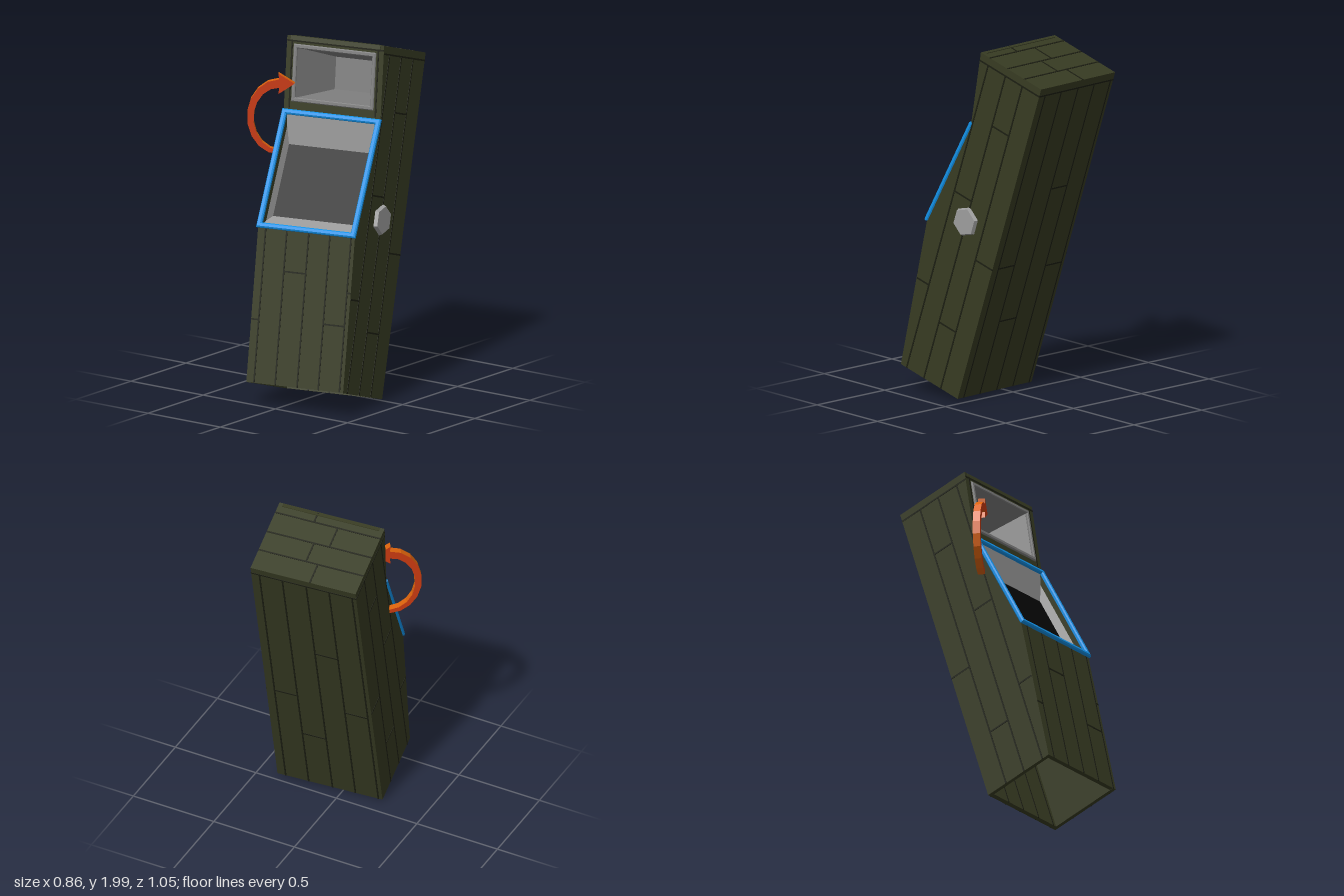
import * as THREE from 'three';

const mat = (name, color, side = THREE.FrontSide) => {
  const m = new THREE.MeshStandardMaterial({ color, side, flatShading: true });
  m.name = name;
  return m;
};

export function createModel() {
  const olive = mat('olive planks', 0x373b22);
  const dark = mat('plank seams', 0x1c1e12);
  const blue = mat('blue frame', 0x149cf8);
  const grey = mat('light grey', 0x9c9c9c, THREE.DoubleSide);
  const midGrey = mat('recess grey', 0x808080, THREE.DoubleSide);
  const black = mat('black screen', 0x050505, THREE.DoubleSide);
  const red = mat('arrow red', 0xca3a10);
  const orange = mat('arrow orange', 0xde640c);

  const W = 0.309, H = 1.925, T = 0.024;
  const root = new THREE.Group();
  root.name = 'cabinetWithArrow';

  // Cabinet space leans back and turns slightly
  const cabinet = new THREE.Group();
  cabinet.name = 'cabinet';
  const ux = new THREE.Vector3(0.992, 0.029, -0.121).normalize();
  const uy = new THREE.Vector3(-0.063, 0.955, -0.288).normalize();
  const uz = new THREE.Vector3().crossVectors(ux, uy).normalize();
  uy.crossVectors(uz, ux);
  cabinet.quaternion.setFromRotationMatrix(new THREE.Matrix4().makeBasis(ux, uy, uz));
  cabinet.position.set(0.075, 0.015, 0.068);
  root.add(cabinet);

  const add = (parent, name, geo, material, x = 0, y = 0, z = 0) => {
    const m = new THREE.Mesh(geo, material);
    m.name = name;
    m.position.set(x, y, z);
    parent.add(m);
    return m;
  };
  // A face group: its xy plane is the surface, +z points outward
  const face = (name, pos, rx = 0, ry = 0) => {
    const g = new THREE.Group();
    g.name = name;
    g.position.set(...pos);
    g.rotation.set(rx, ry, 0);
    cabinet.add(g);
    return g;
  };
  const panel = (g, name, x0, x1, y0, y1) =>
    add(g, name, new THREE.BoxGeometry(x1 - x0, y1 - y0, T), olive, (x0 + x1) / 2, (y0 + y1) / 2, -T / 2);
  // Thin dark strip along x or y
  const seam = (g, x0, y0, x1, y1, z = 0) =>
    add(g, 'plankSeam', new THREE.BoxGeometry(Math.abs(x1 - x0) || 0.009, Math.abs(y1 - y0) || 0.009, 0.004), dark,
      (x0 + x1) / 2, (y0 + y1) / 2, z);
  const rect = (Type, x, y0, y1) => {
    const s = new Type();
    s.moveTo(-x, y0).lineTo(x, y0).lineTo(x, y1).lineTo(-x, y1).closePath();
    return s;
  };
  // Rectangular ring [halfWidth, bottom, top] with a soft bevel
  const ring = (outer, inner, depth, bevel) => {
    const s = rect(THREE.Shape, ...outer);
    s.holes.push(rect(THREE.Path, ...inner));
    return new THREE.ExtrudeGeometry(s, {
      depth, bevelEnabled: bevel > 0, bevelSize: bevel, bevelThickness: bevel, bevelOffset: -bevel, bevelSegments: 1,
    });
  };
  // Tapered recess: four walls and a back
  const recess = (g, name, [a, b0, b1], [c, d0, d1], depth, wallMat, backMat) => {
    const o = [[-a, b0, 0], [a, b0, 0], [a, b1, 0], [-a, b1, 0]];
    const n = [[-c, d0, -depth], [c, d0, -depth], [c, d1, -depth], [-c, d1, -depth]];
    const quad = (p, q, r, s) => [p, q, r, p, r, s].flat();
    const make = (v) => {
      const geo = new THREE.BufferGeometry();
      geo.setAttribute('position', new THREE.Float32BufferAttribute(v, 3));
      geo.computeVertexNormals();
      return geo;
    };
    const walls = [0, 1, 2, 3].flatMap((i) => quad(o[i], o[(i + 1) % 4], n[(i + 1) % 4], n[i]));
    add(g, name + 'Walls', make(walls), wallMat);
    add(g, name + 'Back', make(quad(...n)), backMat);
  };

  // Side panels from the profile (z, y)
  const profile = [[0, 0], [0.438, 0], [0.523, 0.865], [0.402, 1.51], [0.466, H], [0, H]];
  const sideShape = new THREE.Shape(profile.map(([z, y]) => new THREE.Vector2(z, y)));
  for (const [name, x] of [['leftSide', W], ['rightSide', -W + T]]) {
    add(cabinet, name, new THREE.ExtrudeGeometry(sideShape, { depth: T, bevelEnabled: false }), olive, x)
      .rotation.y = -Math.PI / 2;
  }
  for (const s of [1, -1]) {
    const g = face('sideSeams', [s * W, 0, 0], 0, s * Math.PI / 2);
    for (const z of [0.13, 0.26, 0.393]) seam(g, -s * z, 0, -s * z, 1.88);
    seam(g, 0, 1.88, -s * 0.458, 1.88);
    for (const [z0, z1, y] of [[0.393, 0.484, 0.514], [0.13, 0.26, 0.35], [0, 0.13, 0.8],
      [0.26, 0.393, 1.1], [0.13, 0.26, 1.57]]) {
      seam(g, -s * z0, y, -s * z1, y);
    }
  }

  // Back and top
  const inW = W - T, cols = [-0.26, -0.125, 0.015, 0.15, 0.285];
  const back = face('back', [0, 0, 0], 0, Math.PI);
  panel(back, 'backPanel', -inW, inW, 0, H);
  cols.forEach((x) => seam(back, x, 0, x, 1.88));
  cols.slice(0, 4).forEach((x) => seam(back, x, 0, x, 1.3, -T));
  seam(back, -W, 1.88, W, 1.88);
  for (const [i, y] of [[0, 0.8], [1, 0.45], [2, 1.25], [3, 0.75]]) seam(back, cols[i], y, cols[i + 1], y);

  const top = face('top', [0, H, 0], -Math.PI / 2);
  panel(top, 'topPanel', -inW, inW, -0.466, 0);
  const rows = [0, 0.13, 0.26, 0.395, 0.46];
  rows.slice(1, 4).forEach((z) => seam(top, -W, -z, W, -z));
  [-0.04, 0.03, -0.06, 0.08].forEach((x, i) => seam(top, x, -rows[i], x, -rows[i + 1]));

  // Front faces follow the bends of the profile
  const frontFace = (name, i) => {
    const [z0, y0] = profile[i], [z1, y1] = profile[i + 1];
    const g = face(name, [0, y0, z0], Math.atan2(z1 - z0, y1 - y0));
    g.userData.length = Math.hypot(z1 - z0, y1 - y0);
    return g;
  };
  const lower = frontFace('lowerFront', 1);
  panel(lower, 'lowerFrontPanel', -inW, inW, 0, lower.userData.length);
  cols.forEach((x) => seam(lower, x, 0, x, 0.865));
  for (const [x0, x1, y] of [[-0.125, 0.015, 0.63], [0.15, 0.285, 0.365], [-W, -0.26, 0.35], [0.285, W, 0.55]]) {
    seam(lower, x0, y, x1, y);
  }

  // Screen with a blue surround
  const screen = frontFace('screenUnit', 2);
  const L = screen.userData.length;
  add(screen, 'screenFrame', ring([W + 0.006, -0.014, L + 0.01], [0.284, 0.015, L - 0.019], 0.012, 0.007), blue, 0, 0, -0.002);
  recess(screen, 'screen', [0.292, 0.008, L - 0.012], [0.275, 0.076, 0.488], 0.078, grey, black);

  // Upper opening with a rim
  const upper = frontFace('upperFront', 3);
  const U = upper.userData.length;
  add(upper, 'upperFrontPanel', ring([inW, 0, U], [0.25, 0.07, 0.362], T, 0), olive, 0, 0, -T);
  for (const s of [1, -1]) seam(upper, s * 0.275, 0.02, s * 0.275, U - 0.03);
  seam(upper, -W, U - 0.028, W, U - 0.028);
  add(upper, 'openingRim', ring([0.262, 0.056, 0.376], [0.24, 0.08, 0.352], 0.008, 0.005), midGrey, 0, 0, -0.003);
  recess(upper, 'opening', [0.244, 0.076, 0.356], [0.165, 0.11, 0.29], 0.3, midGrey, midGrey);

  // Hexagonal knob on the left side
  const knob = add(cabinet, 'sideKnob', new THREE.CylinderGeometry(0.078, 0.087, 0.02, 6, 1, false, Math.PI / 6),
    grey, W + 0.01, 0.975, 0.26);
  knob.rotation.z = -Math.PI / 2;

  // Curved arrow: tapered arc ending in a head
  const N = 9, outer = [], inner = [];
  for (let i = 0; i <= N; i++) {
    const t = i / N, a = -Math.PI / 2 - t * Math.PI, w = 0.012 + 0.012 * t;
    const p = (k) => new THREE.Vector2(0.17 + (0.16 + k) * Math.cos(a), 1.54 + (0.195 + k) * Math.sin(a));
    outer.push(p(w));
    inner.unshift(p(-w));
  }
  const head = [[0.165, 1.792], [0.255, 1.735], [0.165, 1.675]].map(([x, y]) => new THREE.Vector2(x, y));
  const arrowGeo = new THREE.ExtrudeGeometry(new THREE.Shape([...outer, ...head, ...inner]), { depth: 0.04, bevelEnabled: false });
  arrowGeo.translate(0, 0, -0.02);
  add(root, 'curvedArrow', arrowGeo, [red, orange], -0.418, 0, 0.195).rotation.y = 0.598;

  return root;
}
